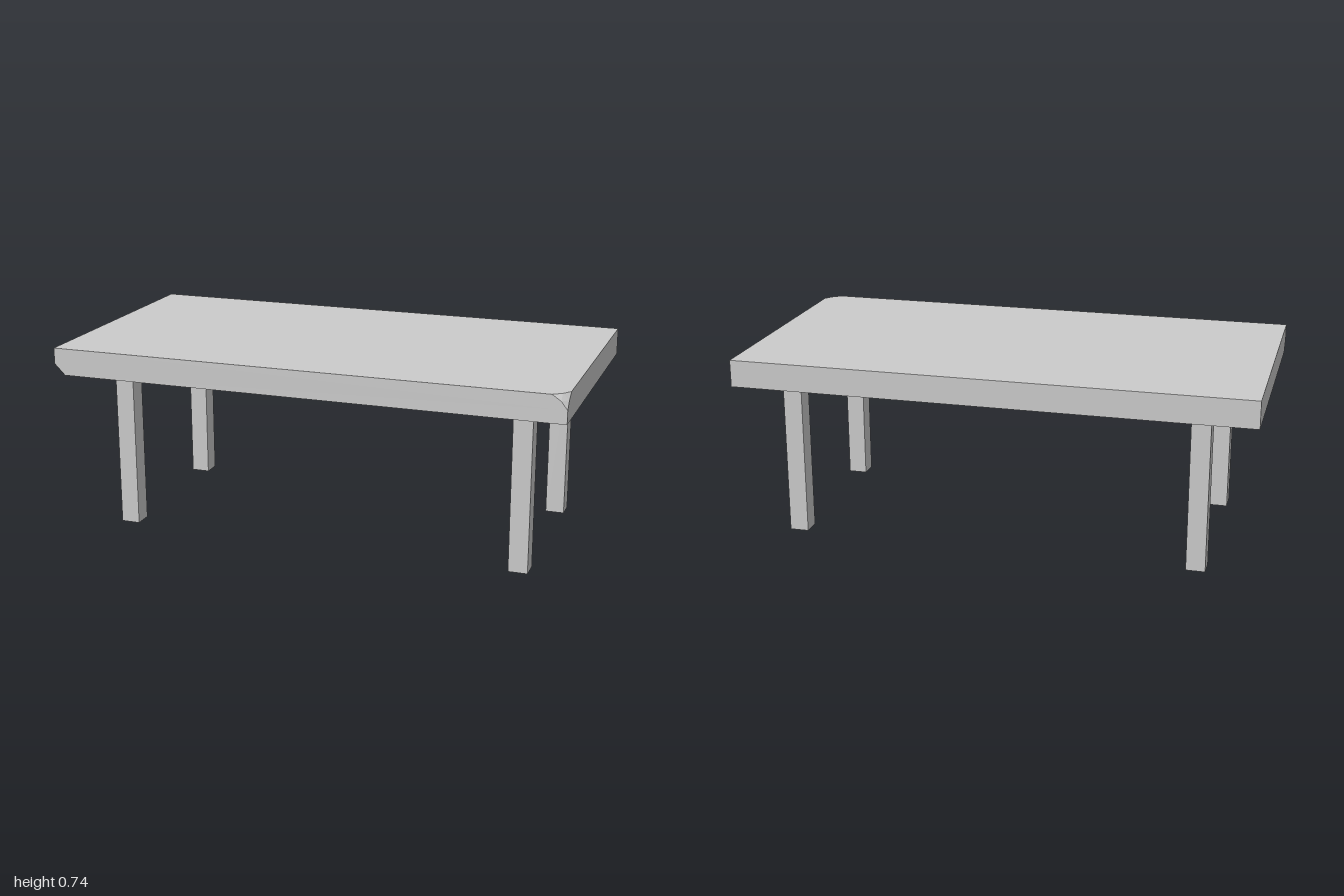
import * as THREE from 'three';
import { ConvexGeometry } from 'three/addons/geometries/ConvexGeometry.js';

const material = new THREE.MeshStandardMaterial({ color: 0xcccccc, flatShading: true });

const HALF_X = 1, HALF_Z = 0.52;
const BOTTOM = 0.633, TOP = 0.738;

// Points that replace a corner: each cut edge may bulge a little towards the corner.
function cutCorner([x, y, z], [dx, dy, dz], bulge) {
  const sx = -Math.sign(x) * dx, sy = y === TOP ? -dy : dy, sz = -Math.sign(z) * dz;
  const points = [[1, 0, 0], [0, 1, 0], [0, 0, 1]];
  if (bulge) points.push([bulge, bulge, 0], [bulge, 0, bulge], [0, bulge, bulge]);
  return points.map(([a, b, c]) => new THREE.Vector3(x + a * sx, y + b * sy, z + c * sz));
}

// Thick slab with two nicked front corners
function createTabletop() {
  const points = [];
  for (const x of [-HALF_X, HALF_X])
    for (const y of [BOTTOM, TOP])
      for (const z of [-HALF_Z, HALF_Z]) {
        const corner = [x, y, z];
        if (x > 0 && y === TOP && z > 0) points.push(...cutCorner(corner, [0.057, 0.053, 0.057], 0.42));
        else if (x < 0 && y === BOTTOM && z > 0) points.push(...cutCorner(corner, [0.043, 0.043, 0.045], 0));
        else points.push(new THREE.Vector3(...corner));
      }
  const top = new THREE.Mesh(new ConvexGeometry(points), material);
  top.name = 'tabletop';
  return top;
}

export function createModel() {
  const table = new THREE.Group();
  table.name = 'table';
  table.add(createTabletop());

  // Four square legs
  const legGeometry = new THREE.BoxGeometry(0.074, BOTTOM, 0.074);
  for (const [side, x] of [['Right', -0.777], ['Left', 0.816]])
    for (const [end, z] of [['front', 0.341], ['back', -0.334]]) {
      const leg = new THREE.Mesh(legGeometry, material);
      leg.name = `${end}${side}Leg`;
      leg.position.set(x, BOTTOM / 2, z);
      table.add(leg);
    }
  return table;
}
